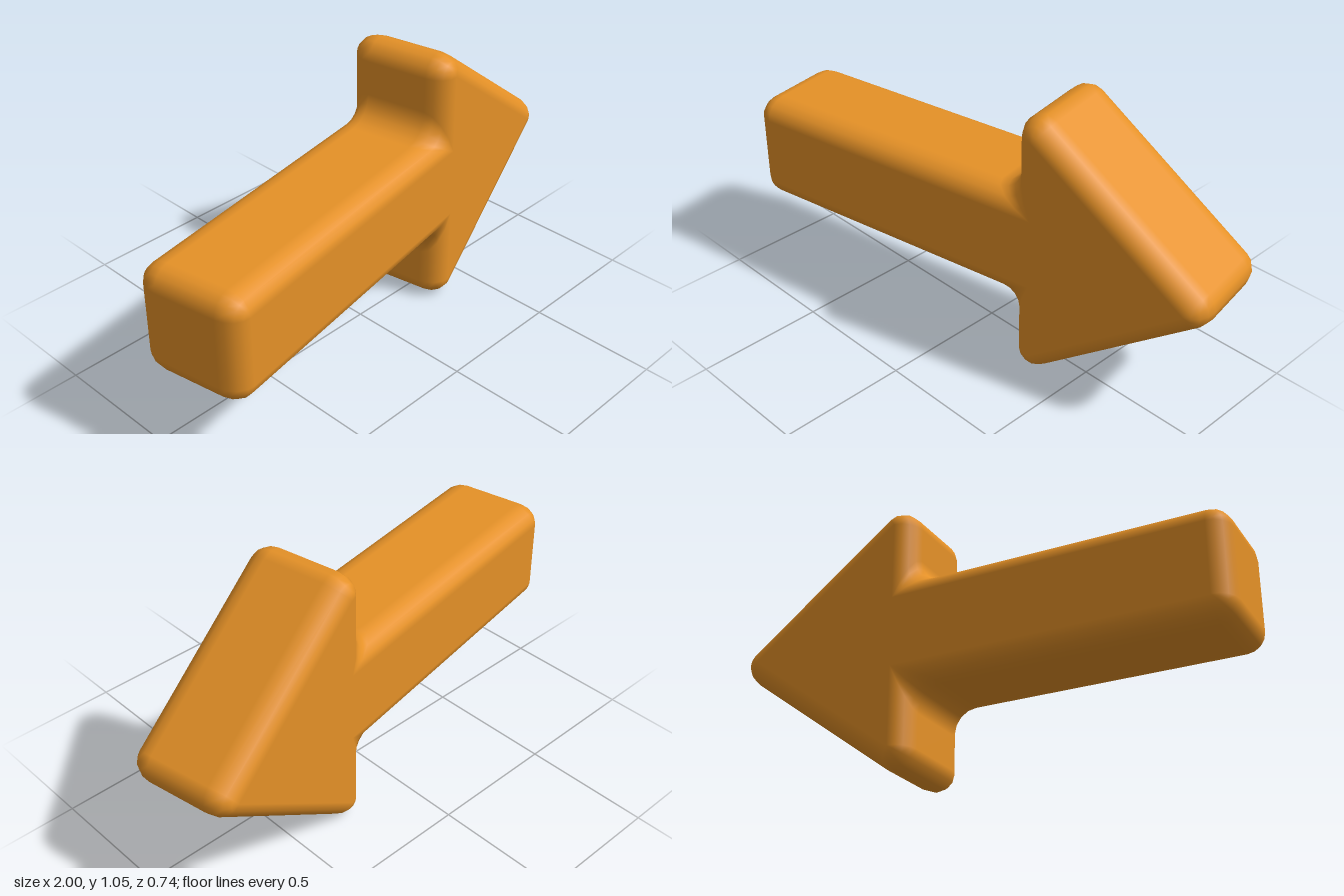
import * as THREE from 'three';

const BEVEL = 0.075;      // rounding across the outline
const BEVEL_DEPTH = 0.09; // rounding through the thickness
const HALF_DEPTH = 0.213;
const FILLET = 0.1;       // inner corner between shaft and head
const SEG = 4;

// Flat face of the arrow, counter-clockwise, pointing along +x
const FACE = [
  [-0.918, -0.1375], [0.31, -0.1375], [0.31, -0.45], [0.918, 0],
  [0.31, 0.45], [0.31, 0.1375], [-0.918, 0.1375],
].map(([x, y]) => new THREE.Vector2(x, y));

// Outline grown by s: convex corners become arcs, inner corners get a fillet
function outline(s) {
  const n = FACE.length, out = [];
  const edgeNormal = (i) => {
    const e = FACE[(i + 1) % n].clone().sub(FACE[i % n]).normalize();
    return new THREE.Vector2(e.y, -e.x);
  };
  FACE.forEach((v, i) => {
    const n0 = edgeNormal(i + n - 1), n1 = edgeNormal(i);
    const turn = Math.atan2(n0.cross(n1), n0.dot(n1));
    for (let k = 0; k <= SEG; k++) {
      const dir = n0.clone().rotateAround(new THREE.Vector2(), turn * k / SEG);
      const p = v.clone();
      if (turn > 0) p.addScaledVector(dir, s);
      else {
        const r = FILLET * s / BEVEL;
        p.addScaledVector(n0, s + r).addScaledVector(n1, s + r).addScaledVector(dir, -r);
      }
      out.push({ p, dir });
    }
  });
  return out;
}

// Rings of outline from the front face, around the rounded edge, to the back face
function arrowGeometry() {
  const pos = [], nor = [], index = [];
  const rings = 2 * (SEG + 1), count = FACE.length * (SEG + 1);
  for (let j = 0; j < rings; j++) {
    const front = j <= SEG;
    const phi = (front ? j : j - 1) / SEG * Math.PI / 2;
    const sin = Math.sin(phi), cos = Math.cos(phi);
    const z = (front ? 1 : -1) * (HALF_DEPTH - BEVEL_DEPTH) + BEVEL_DEPTH * cos;
    for (const { p, dir } of outline(BEVEL * sin)) {
      pos.push(p.x, p.y, z);
      const m = new THREE.Vector3(dir.x * sin / BEVEL, dir.y * sin / BEVEL, cos / BEVEL_DEPTH).normalize();
      nor.push(m.x, m.y, m.z);
    }
  }
  for (let j = 0; j < rings - 1; j++) {
    for (let i = 0; i < count; i++) {
      const a = j * count + i, d = j * count + (i + 1) % count;
      index.push(a, a + count, d + count, a, d + count, d);
    }
  }
  // Flat front and back faces
  const last = (rings - 1) * count;
  for (const tri of THREE.ShapeUtils.triangulateShape(FACE, [])) {
    const [a, b, c] = tri.map((i) => i * (SEG + 1));
    index.push(a, b, c, last + a, last + c, last + b);
  }
  const g = new THREE.BufferGeometry();
  g.setAttribute('position', new THREE.Float32BufferAttribute(pos, 3));
  g.setAttribute('normal', new THREE.Float32BufferAttribute(nor, 3));
  g.setIndex(index);
  return g;
}

export function createModel() {
  const group = new THREE.Group();
  group.name = 'arrowModel';
  const orange = new THREE.MeshStandardMaterial({ color: 0xe59127 });
  orange.name = 'orange';
  const arrow = new THREE.Mesh(arrowGeometry(), orange);
  arrow.name = 'arrow';
  arrow.position.y = 0.525;
  arrow.rotation.y = THREE.MathUtils.degToRad(10);
  group.add(arrow);
  return group;
}
